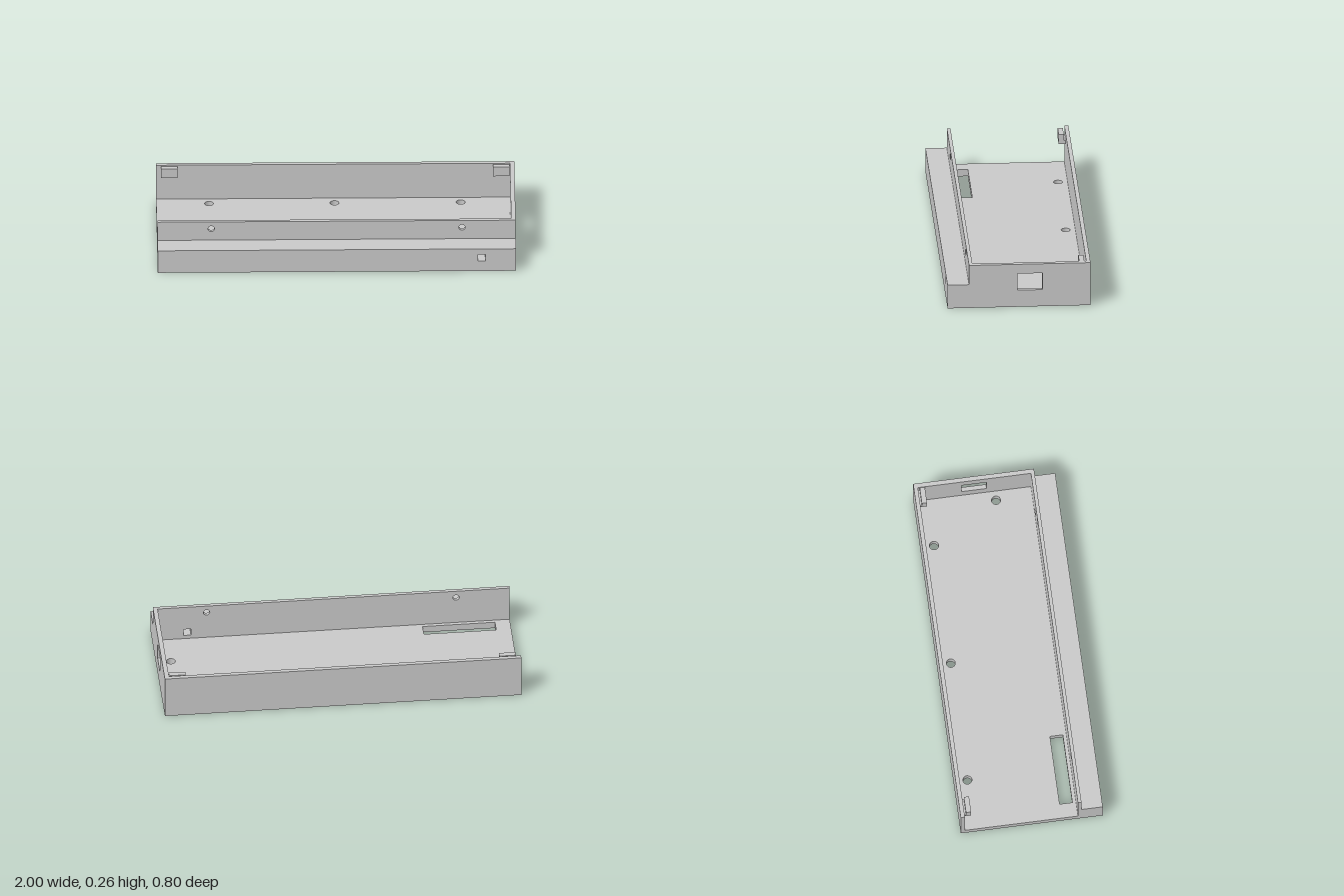
import * as THREE from 'three';

const H = 0.256;       // wall height
const FLOOR = 0.04;    // floor thickness
const LEDGE = 0.14;    // ledge height
const BACK = -0.377;   // inner face of the back wall

// Hole outlines
const round = (x, y, r) => new THREE.Path().absarc(x, y, r, 0, Math.PI * 2, true);
const rect = (x0, x1, y0, y1) => new THREE.Path([[x0, y0], [x0, y1], [x1, y1], [x1, y0]]
  .map(p => new THREE.Vector2(...p))).closePath();

// Rectangular plate with holes, extruded along +z
function plate(x0, x1, y0, y1, depth, holes = []) {
  const shape = new THREE.Shape([[x0, y0], [x1, y0], [x1, y1], [x0, y1]]
    .map(p => new THREE.Vector2(...p)));
  shape.holes.push(...holes);
  return new THREE.ExtrudeGeometry(shape, { depth, bevelEnabled: false, curveSegments: 24 });
}

// Horizontal plate: outline in x and z, between two heights
function slab(x0, x1, z0, z1, y0, y1, holes) {
  return plate(x0, x1, z0, z1, y1 - y0, holes).rotateX(Math.PI / 2).translate(0, y1, 0);
}

function box(x0, x1, y0, y1, z0, z1) {
  return new THREE.BoxGeometry(x1 - x0, y1 - y0, z1 - z0)
    .translate((x0 + x1) / 2, (y0 + y1) / 2, (z0 + z1) / 2);
}

export function createModel() {
  const model = new THREE.Group();
  model.name = 'enclosureTray';
  const grey = new THREE.MeshStandardMaterial({ color: 0xc8c8c8 });
  grey.name = 'lightGrey';
  const add = (name, geometry, parent = model) => {
    const mesh = new THREE.Mesh(geometry, grey);
    mesh.name = name;
    parent.add(mesh);
  };

  // Floor with mounting holes and cable slot
  add('floor', slab(-1, 1, -0.4, 0.26, 0, FLOOR, [
    ...[-0.705, -0.005, 0.7].map(x => round(x, -0.323, 0.025)),
    round(0.921, 0.056, 0.025),
    rect(-0.916, -0.51, 0.168, 0.24),
  ]));

  // Back wall
  add('backWall', box(-1, 1, FLOOR, H, -0.4, BACK));

  // End wall with a socket window (outline runs along -z)
  add('endWall', plate(-0.26, -BACK, FLOOR, H, 0.025, [rect(-0.01, 0.13, 0.1, 0.2)])
    .rotateY(Math.PI / 2).translate(0.975, 0, 0));

  // Front wall with two screw holes and a square port
  const port = () => rect(0.788, 0.829, 0.062, 0.104);
  add('frontWall', plate(-1, 1, 0, H, 0.02,
    [round(-0.7, 0.212, 0.018), round(0.7, 0.212, 0.018), port()]).translate(0, 0, 0.26));

  // Solid front ledge: blind screw holes below, square port at one end
  const ledge = new THREE.Group();
  ledge.name = 'frontLedge';
  add('ledgeBase', slab(-1, 0.6, 0.28, 0.4, 0, 0.1,
    [round(-0.8, 0.337, 0.023), round(0.4, 0.337, 0.023)]), ledge);
  add('ledgeTop', box(-1, 0.6, 0.1, LEDGE, 0.28, 0.4), ledge);
  add('ledgePortEnd', plate(0.6, 1, 0, LEDGE, 0.12, [port()]).translate(0, 0, 0.28), ledge);
  model.add(ledge);

  // Lid clips on the inside of the back wall, each a plate with a groove behind
  for (const [name, x0, x1] of [['rightClip', -0.973, -0.88], ['leftClip', 0.88, 0.973]]) {
    const clip = new THREE.Group();
    clip.name = name;
    add('clipPlate', box(x0, x1, 0.195, 0.253, -0.367, -0.338), clip);
    add('clipBridge', box(x0, x1, 0.195, 0.215, BACK, -0.367), clip);
    model.add(clip);
  }

  return model;
}
